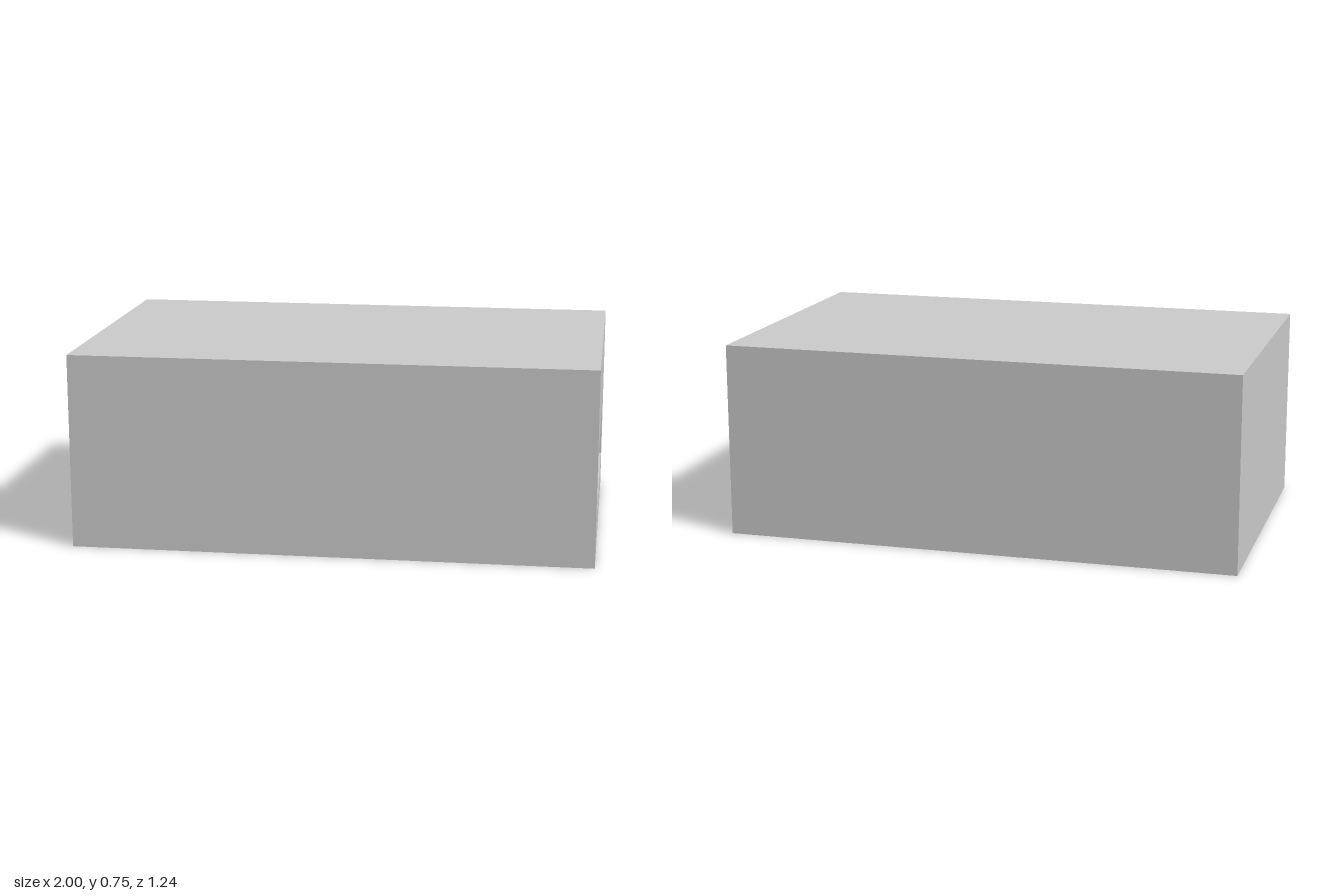
import * as THREE from 'three';

const W = 2, H = 0.753, D = 1.244, T = 0.021;

export function createModel() {
  const group = new THREE.Group();
  const material = new THREE.MeshStandardMaterial({ color: 0xcccccc });

  function add(name, geometry, x, y, z) {
    const mesh = new THREE.Mesh(geometry, material);
    mesh.name = name;
    mesh.position.set(x, y, z);
    group.add(mesh);
    return mesh;
  }

  // Roof panel over an open-bottomed shell
  add('roof', new THREE.BoxGeometry(W, T, D), 0, H - T / 2, 0);

  // Long front and back walls
  const wallH = H - T;
  for (const [name, s] of [['frontWall', 1], ['backWall', -1]]) {
    add(name, new THREE.BoxGeometry(W, wallH, T), 0, wallH / 2, s * (D - T) / 2);
  }

  // Plain end wall
  const endD = D - 2 * T;
  add('plainEndWall', new THREE.BoxGeometry(T, wallH, endD), -(W - T) / 2, wallH / 2, 0);

  // End wall with a slot whose corners are slightly rounded
  const panel = new THREE.Shape();
  panel.moveTo(-endD / 2, 0);
  panel.lineTo(endD / 2, 0);
  panel.lineTo(endD / 2, wallH);
  panel.lineTo(-endD / 2, wallH);
  panel.closePath();

  const a = 0.445, y0 = 0.169, y1 = 0.396, r = 0.006;
  const slot = new THREE.Path();
  slot.absarc(a - r, y1 - r, r, 0, Math.PI / 2);
  slot.absarc(-a + r, y1 - r, r, Math.PI / 2, Math.PI);
  slot.absarc(-a + r, y0 + r, r, Math.PI, Math.PI * 1.5);
  slot.absarc(a - r, y0 + r, r, Math.PI * 1.5, Math.PI * 2);
  slot.closePath();
  panel.holes.push(slot);

  const slotted = new THREE.ExtrudeGeometry(panel, { depth: T, bevelEnabled: false, curveSegments: 4 });
  add('slottedEndWall', slotted, W / 2 - T, 0, 0).rotation.y = Math.PI / 2;

  return group;
}
